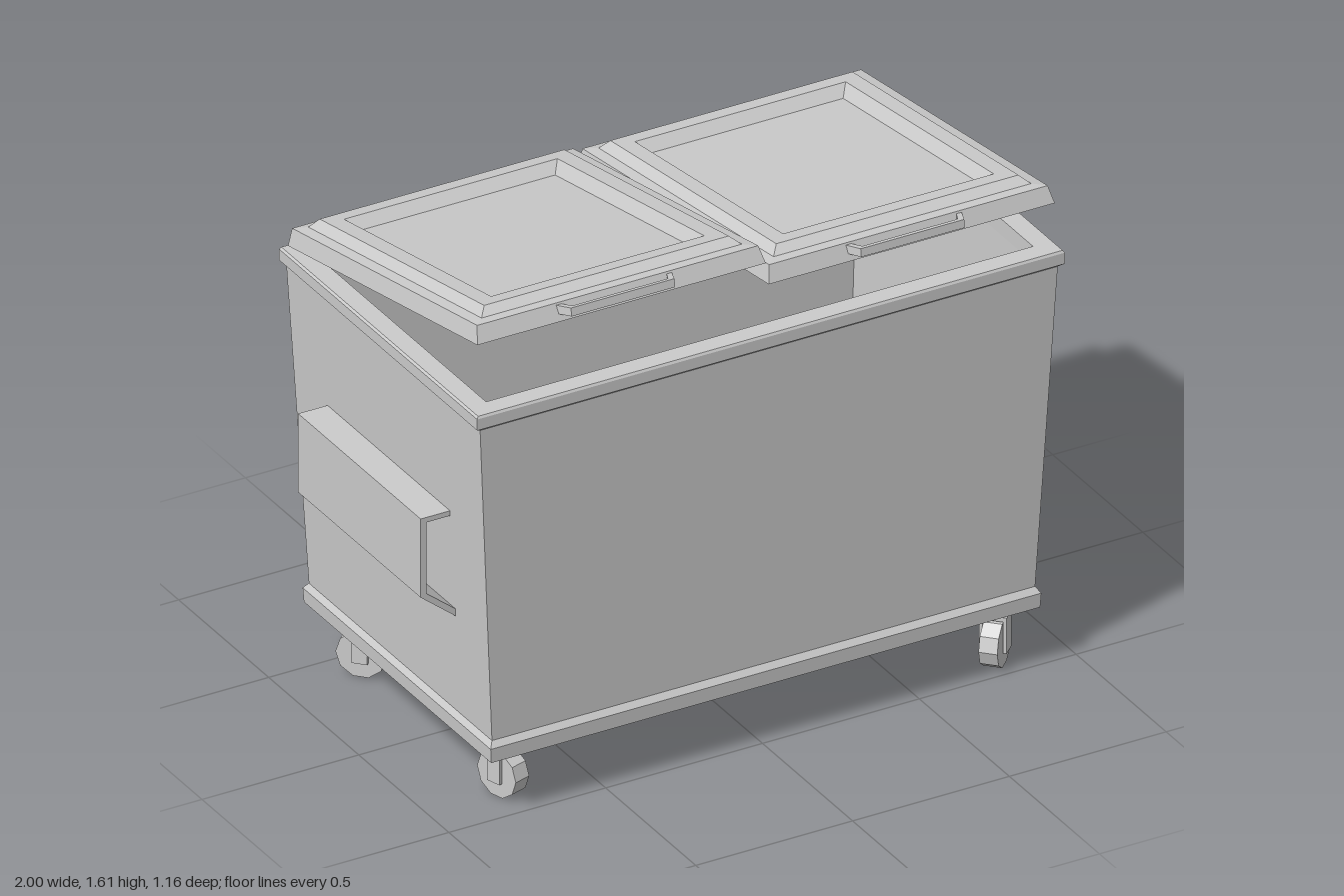
import * as THREE from 'three';

const grey = new THREE.MeshStandardMaterial({ color: 0xcccccc, flatShading: true, side: THREE.DoubleSide });

function add(parent, name, geometry, x = 0, y = 0, z = 0) {
  const mesh = new THREE.Mesh(geometry, grey);
  mesh.name = name;
  mesh.position.set(x, y, z);
  parent.add(mesh);
  return mesh;
}

// Skins a stack of rectangles [halfX, halfZ, y], capped at both ends
function rectLoft(rings) {
  const loops = rings.map(([x, z, y]) => [[x, y, z], [x, y, -z], [-x, y, -z], [-x, y, z]]);
  const pos = [];
  const quad = (a, b, c, d) => pos.push(...a, ...b, ...c, ...a, ...c, ...d);
  const [a, b, c, d] = loops[0];
  quad(a, d, c, b);
  for (let i = 0; i + 1 < loops.length; i++) {
    for (let k = 0; k < 4; k++) {
      const n = (k + 1) % 4;
      quad(loops[i][k], loops[i][n], loops[i + 1][n], loops[i + 1][k]);
    }
  }
  quad(...loops[loops.length - 1]);
  const geometry = new THREE.BufferGeometry();
  geometry.setAttribute('position', new THREE.Float32BufferAttribute(pos, 3));
  geometry.computeVertexNormals();
  return geometry;
}

function extrude(points, depth) {
  const shape = new THREE.Shape(points.map(([x, y]) => new THREE.Vector2(x, y)));
  return new THREE.ExtrudeGeometry(shape, { depth, bevelEnabled: false });
}

// Lid hinged at its back edge, with a raised border and a sunken panel
function makeLid(name, x, y, z, halfWidth, angle, handleX, bar) {
  const lid = new THREE.Group();
  lid.name = name;
  lid.position.set(x, y, z);
  lid.rotation.x = -angle;
  const length = 1.07;
  const profile = [[0, 0], [0.012, 0.052], [0.045, 0.056], [0.07, 0.08], [0.12, 0.08], [0.145, 0.045]];
  const rings = profile.map(([inset, h]) => [halfWidth - inset, length / 2 - inset, h]);
  add(lid, 'lidPanel', rectLoft(rings), 0, 0, length / 2);

  // Pull handle on the front edge
  const handle = extrude([
    [-0.185, 0], [-0.165, 0.05], [0.165, 0.05], [0.185, 0],
    [0.168, 0], [0.152, 0.036], [-0.152, 0.036], [-0.168, 0],
  ], 0.025);
  handle.rotateX(Math.PI / 2);
  add(lid, 'lidHandle', handle, handleX - x, 0.046, length - 0.012);

  // Hinge bar along the back edge
  add(lid, 'hingeBar', new THREE.BoxGeometry(bar.width, 0.035, 0.055), bar.x - x, 0.003, bar.z);
  return lid;
}

// Swivel caster turned by an angle about its stem
function makeCaster(name, x, z, turn) {
  const caster = new THREE.Group();
  caster.name = name;
  caster.position.set(x, 0, z);
  caster.rotation.y = turn;
  add(caster, 'casterStem', new THREE.BoxGeometry(0.036, 0.06, 0.036), 0, 0.18, 0);
  add(caster, 'forkTop', new THREE.BoxGeometry(0.08, 0.014, 0.046), 0, 0.156, 0);
  for (const side of [-1, 1]) {
    add(caster, 'forkPlate', new THREE.BoxGeometry(0.01, 0.11, 0.046), side * 0.035, 0.105, 0);
  }
  const wheel = new THREE.CylinderGeometry(0.073, 0.073, 0.054, 10);
  wheel.rotateZ(Math.PI / 2);
  add(caster, 'wheel', wheel, 0, 0.072, 0);
  return caster;
}

export function createModel() {
  const model = new THREE.Group();
  model.name = 'wasteContainer';

  // Tapered open bin: base flange, walls, rim, inner walls and floor
  add(model, 'bin', rectLoft([
    [0.875, 0.52, 0.2], [0.878, 0.522, 0.245], [0.866, 0.508, 0.263],
    [0.921, 0.538, 1.28], [0.937, 0.55, 1.29], [0.937, 0.55, 1.325], [0.932, 0.546, 1.332],
    [0.872, 0.486, 1.332], [0.872, 0.486, 1.28], [0.845, 0.487, 0.25],
  ]), -0.003, 0, 0.003);

  // Two lids, propped open at different angles
  model.add(makeLid('rightLid', -0.467, 1.345, -0.52, 0.46, 0.19, -0.48, { x: -0.483, width: 0.715, z: -0.036 }));
  model.add(makeLid('leftLid', 0.456, 1.335, -0.525, 0.456, 0.136, 0.44, { x: 0.455, width: 0.78, z: -0.014 }));

  // Fork pockets on both sides: bent plates open at the ends
  const section = [
    [0.895, 0.92], [0.998, 0.92], [0.998, 0.67], [0.868, 0.565],
    [0.868, 0.588], [0.98, 0.678], [0.98, 0.904], [0.895, 0.904],
  ];
  for (const [name, turn, depth] of [['leftForkPocket', 0, 0.61], ['rightForkPocket', Math.PI, 0.68]]) {
    const geometry = extrude(section, depth);
    geometry.translate(0, 0, -depth / 2);
    add(model, name, geometry).rotation.y = turn;
  }

  // Casters, each swivelled differently
  model.add(makeCaster('frontLeftCaster', 0.782, 0.43, -0.8));
  model.add(makeCaster('frontRightCaster', -0.758, 0.38, 0.3));
  model.add(makeCaster('backLeftCaster', 0.782, -0.395, 0.15));
  model.add(makeCaster('backRightCaster', -0.758, -0.395, 0.75));
  return model;
}
